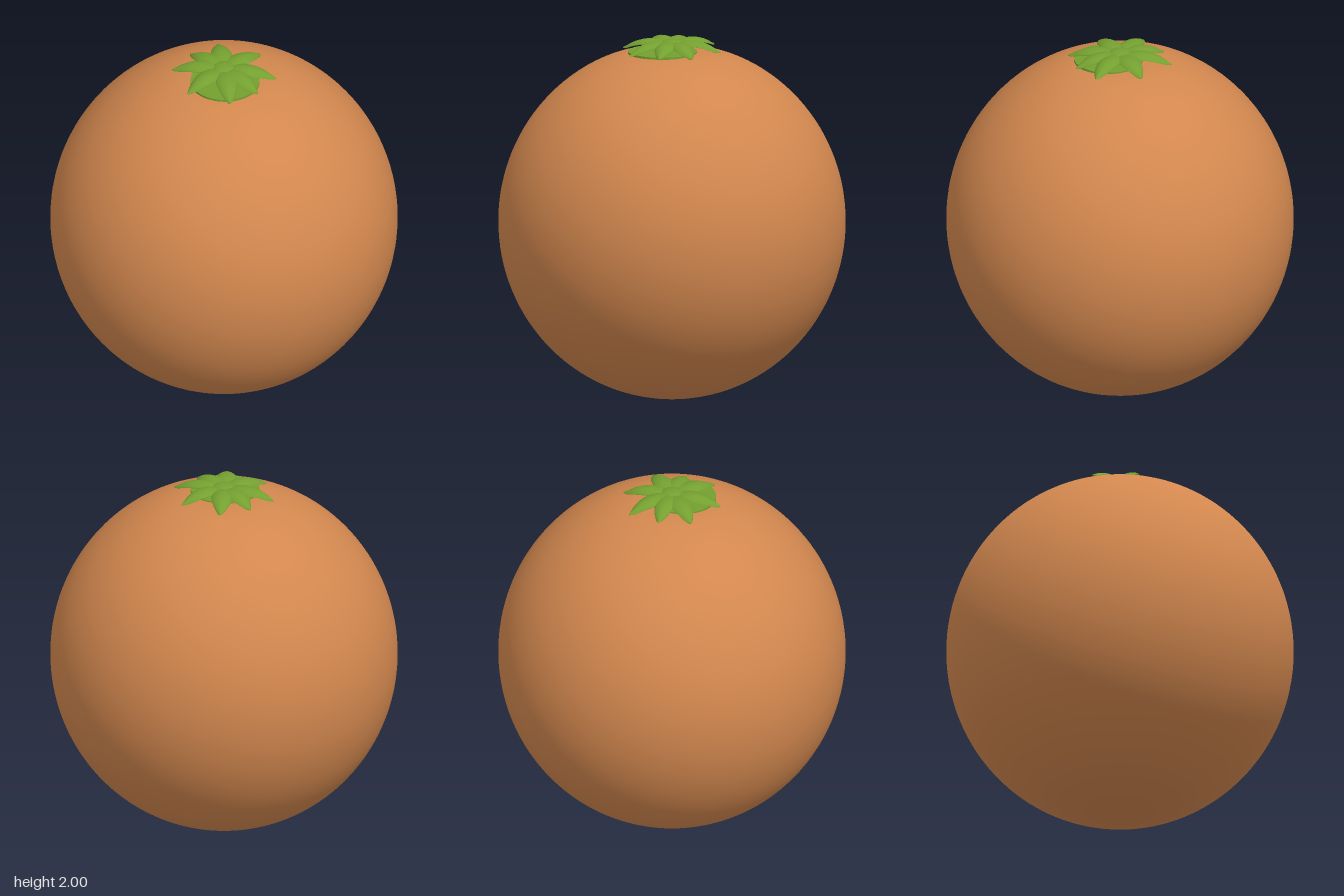
import * as THREE from 'three';

export function createModel() {
  const model = new THREE.Group();
  const skin = new THREE.MeshStandardMaterial({ name: 'orangeSkin', color: 0xd2874e });
  const green = new THREE.MeshStandardMaterial({ name: 'leafGreen', color: 0x74a030 });

  function add(name, geometry, material, parent = model) {
    const mesh = new THREE.Mesh(geometry, material);
    mesh.name = name;
    parent.add(mesh);
    return mesh;
  }

  // Fruit body: a nearly round lathe with a shallow dimple under the calyx
  const profile = [];
  for (let i = 0; i <= 64; i++) {
    const a = Math.PI * (1 - i / 64);
    const r = i === 0 || i === 64 ? 0 : 0.953 * Math.sin(a);
    const dimple = a < Math.PI / 2 ? 0.03 * Math.exp(-((r / 0.2) ** 2)) : 0;
    profile.push(new THREE.Vector2(r, 0.983 + 0.98 * Math.cos(a) - dimple));
  }
  add('fruitBody', new THREE.LatheGeometry(profile, 96), skin);

  // Calyx: pointed leaves that arch up and droop at their tips
  const calyx = new THREE.Group();
  calyx.name = 'calyx';
  model.add(calyx);

  function leafGeometry(length) {
    const g = new THREE.SphereGeometry(1, 20, 24);
    g.rotateX(Math.PI / 2);
    const p = g.attributes.position;
    for (let i = 0; i < p.count; i++) {
      const z = p.getZ(i);
      const s = Math.sqrt(Math.max(1 - z * z, 1e-9));
      const across = s < 0.001 ? 0 : p.getX(i) / s;
      const up = s < 0.001 ? 0 : p.getY(i) / s;
      const t = (z + 1) / 2;
      // width swells past the middle and closes to a point
      const width = 0.064 * Math.min(1, Math.sqrt(t * 4)) * (1 - Math.pow(t, 3.2)) ** 0.9;
      const ridge = 1.972 + 0.018 * Math.sin(Math.PI * Math.min(t * 1.1, 1)) - 0.034 * t ** 4;
      const droop = 0.016 * across * across * s;
      p.setXYZ(i, across * width, ridge - droop + up * 0.008 * s, length * t);
    }
    g.computeVertexNormals();
    return g;
  }

  for (let i = 0; i < 8; i++) {
    const diagonal = i % 2 === 1;
    const length = diagonal ? 0.292 : i % 4 === 0 ? 0.28 : 0.268;
    // diagonal leaves lean slightly toward the sides
    const lean = diagonal ? (i % 4 === 1 ? 0.13 : -0.13) : 0;
    const leaf = add('calyxLeaf', leafGeometry(length), green, calyx);
    leaf.rotation.y = (i * Math.PI) / 4 + lean;
  }

  // Stem nub in the middle of the leaves
  const nub = add('stemNub', new THREE.SphereGeometry(0.062, 24, 16), green, calyx);
  nub.scale.y = 0.35;
  nub.position.y = 1.977;

  // Stem base tucked under the leaves
  const base = add('calyxBase', new THREE.CylinderGeometry(0.19, 0.19, 0.012, 40), green, calyx);
  base.position.set(0.05, 1.934, 0.04);

  return model;
}
